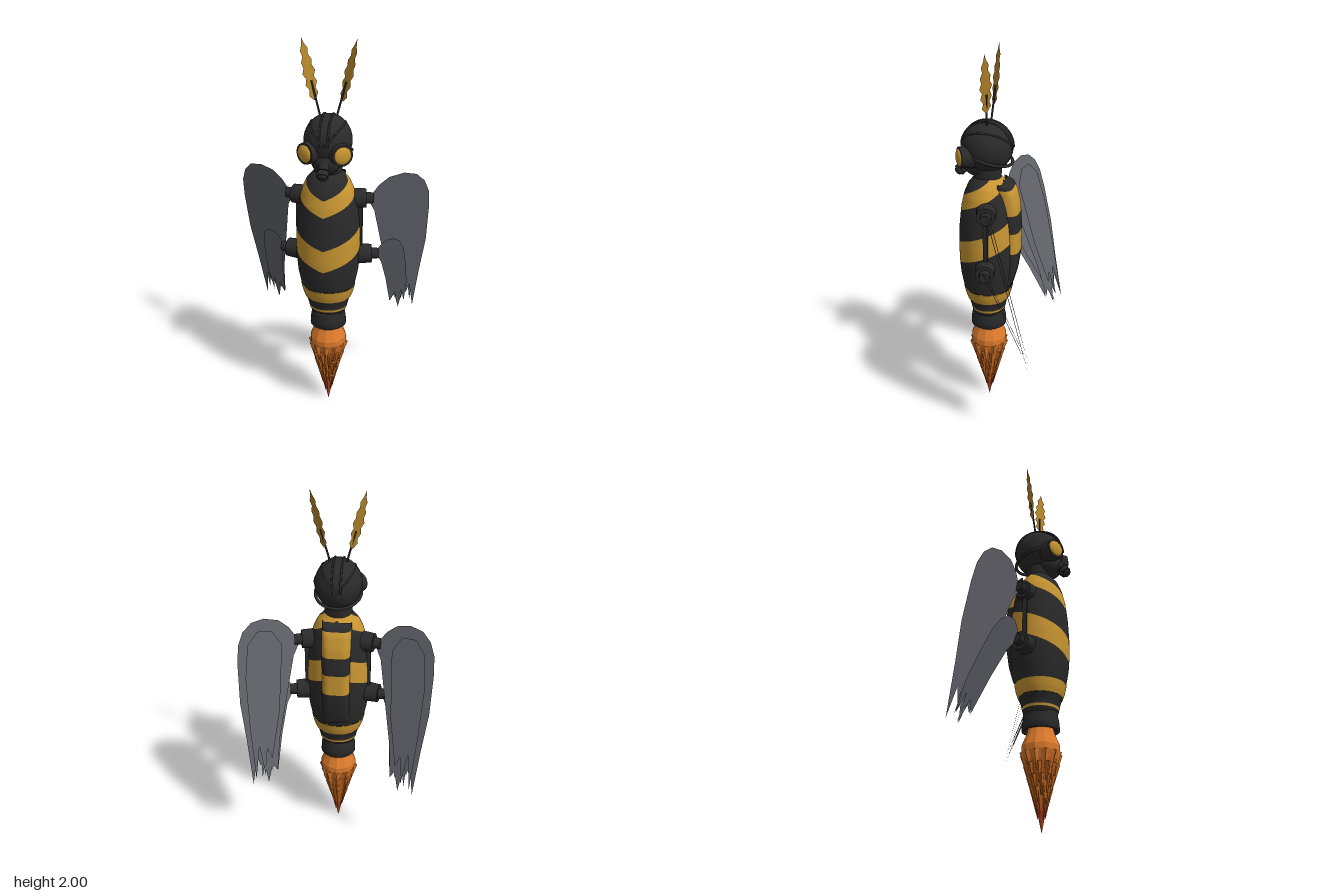
import * as THREE from 'three';

const CZ = 0.088; // z of the body axis
const mat = (name, color, extra = {}) => {
  const m = new THREE.MeshStandardMaterial({ color, ...extra });
  m.name = name;
  return m;
};

// Smooth interpolation through [y, value] pairs sorted by y
function profile(pairs) {
  return y => {
    for (let i = 1; i < pairs.length; i++) {
      if (y <= pairs[i][0]) {
        const [a, va] = pairs[i - 1], [b, vb] = pairs[i];
        return va + (vb - va) * Math.max(0, (y - a) / (b - a));
      }
    }
    return pairs[pairs.length - 1][1];
  };
}

// Surface from a rule: point(u, v) with u, v in 0..1
function sheet(point, nu, nv) {
  const pos = [], idx = [];
  for (let j = 0; j <= nv; j++) for (let i = 0; i <= nu; i++) pos.push(...point(i / nu, j / nv));
  for (let j = 0; j < nv; j++) for (let i = 0; i < nu; i++) {
    const a = j * (nu + 1) + i, b = a + 1, c = a + nu + 1, d = c + 1;
    idx.push(a, b, d, a, d, c);
  }
  const g = new THREE.BufferGeometry();
  g.setAttribute('position', new THREE.Float32BufferAttribute(pos, 3));
  g.setIndex(idx);
  g.computeVertexNormals();
  return g;
}

export function createModel() {
  const model = new THREE.Group();
  model.name = 'rocketWasp';
  const black = mat('black', 0x2a2a2a);
  const gold = mat('gold', 0xc99632);
  const antennaGold = mat('antennaGold', 0xb5852a, { side: THREE.DoubleSide });
  const grey = mat('wingGrey', 0x64656c, { side: THREE.DoubleSide, flatShading: true });
  const orange = mat('orange', 0xdd7a2c, { flatShading: true });
  const amber = mat('darkOrange', 0xc4661f, { flatShading: true });
  const red = mat('flameRed', 0xb0441c, { flatShading: true });

  const add = (parent, name, geo, material, x = 0, y = 0, z = 0) => {
    const m = new THREE.Mesh(geo, material);
    m.name = name;
    m.position.set(x, y, z);
    parent.add(m);
    return m;
  };

  // Body: stacked bands, the upper ones rising in a chevron towards the back
  const radius = profile([[0.58, 0.088], [0.6, 0.098], [0.64, 0.107], [0.67, 0.119], [0.7, 0.13], [0.75, 0.142],
    [0.82, 0.156], [0.9, 0.163], [1.0, 0.164], [1.1, 0.159], [1.2, 0.147], [1.27, 0.13], [1.32, 0.107], [1.35, 0.08], [1.37, 0.062]]);
  const levels = [[0.58, 0], [0.603, 0], [0.616, 0], [0.67, 0], [0.738, 0], [0.86, 0.19], [0.98, 0.19], [1.155, 0.19], [1.24, 0.19], [1.37, 0]];
  const levelAt = ([y, rise], t) => Math.min(1.37, y + rise * t);
  for (let k = 0; k < levels.length - 1; k++) {
    add(model, 'bodyBand', sheet((u, v) => {
      const a = (u - 0.5) * 2 * Math.PI, t = Math.abs(u - 0.5) * 2;
      const y = THREE.MathUtils.lerp(levelAt(levels[k], t), levelAt(levels[k + 1], t), v);
      const r = radius(y) + (k === 3 ? 0.003 : 0);
      return [r * Math.sin(a), y, CZ + 0.92 * r * Math.cos(a)];
    }, 64, 10), k % 2 ? gold : black);
  }

  // Back pack: a rounded spine with straight stripes
  const depth = profile([[0.74, 0], [0.76, 0.045], [0.84, 0.068], [0.95, 0.084], [1.1, 0.085], [1.22, 0.077], [1.29, 0.06], [1.325, 0.04], [1.34, 0]]);
  const cuts = [0.74, 0.96, 1.075, 1.175, 1.31, 1.34];
  for (let k = 0; k < cuts.length - 1; k++) {
    add(model, 'backPackBand', sheet((u, v) => {
      const a = u * Math.PI, y = THREE.MathUtils.lerp(cuts[k], cuts[k + 1], v);
      return [-0.075 * Math.sign(Math.cos(a)) * Math.abs(Math.cos(a)) ** 0.5 * -1 * -1, y,
        0.02 - (0.02 + depth(y)) * Math.max(0, Math.sin(a)) ** 0.5];
    }, 24, 10), k % 2 ? gold : black).material.side = THREE.DoubleSide;
  }

  // Neck and exhaust nozzle
  add(model, 'neck', new THREE.CylinderGeometry(0.075, 0.068, 0.1, 32), black, 0, 1.385, CZ);
  const nozzle = [[0.07, 0.56], [0.078, 0.5], [0.095, 0.5], [0.093, 0.54], [0.086, 0.575], [0.088, 0.59], [0, 0.59]];
  add(model, 'nozzle', new THREE.LatheGeometry(nozzle.map(p => new THREE.Vector2(...p)), 32), black, 0, 0, CZ);
  add(model, 'nozzleFloor', new THREE.CylinderGeometry(0.075, 0.075, 0.02, 32), black, 0, 0.56, CZ);

  // Flame: bulb, tapering core and rings of hanging shards
  const flame = (name, pts, m) =>
    add(model, name, new THREE.LatheGeometry(pts.map(p => new THREE.Vector2(...p)), 12), m, 0, 0, CZ);
  flame('flameBulb', [[0.082, 0.35], [0.097, 0.39], [0.097, 0.42], [0.076, 0.47], [0.066, 0.5], [0.066, 0.55]], orange);
  flame('flameCore', [[0.024, 0.12], [0.046, 0.22], [0.065, 0.29], [0.084, 0.36]], amber);
  flame('flameTip', [[0.0005, 0.005], [0.01, 0.05], [0.024, 0.12]], red);
  for (let ring = 0; ring < 5; ring++) {
    const y = 0.39 - ring * 0.057, r = 0.088 - ring * 0.0135, n = 12 - ring;
    for (let i = 0; i < n; i++) {
      const a = (i + ring * 0.5) / n * Math.PI * 2, len = 0.075 + 0.025 * ((i * 7 + ring * 3) % 4) / 3;
      const g = new THREE.CylinderGeometry(r * 0.2, r * 0.06, len, 4);
      g.rotateX(0.2);
      g.translate(0, -len / 2, r - 0.007);
      g.rotateY(a);
      add(model, 'flameShard', g, ring < 1 ? orange : ring < 4 ? amber : red, 0, y, CZ);
    }
  }

  // Head: helmet with ridges and a tilted rim
  const head = new THREE.Group();
  head.name = 'head';
  head.position.set(0, 1.515, CZ);
  model.add(head);
  add(head, 'helmet', new THREE.SphereGeometry(0.13, 40, 28), black).scale.set(0.92, 1, 1);
  for (const x of [-0.022, 0.022]) {
    add(head, 'crownRidge', new THREE.TorusGeometry(0.129, 0.005, 8, 48, Math.PI).rotateY(Math.PI / 2), black, x);
  }
  for (const s of [-1, 1]) {
    const ridge = add(head, 'sideRidge', new THREE.TorusGeometry(0.13, 0.005, 8, 48, Math.PI).rotateY(Math.PI / 2), black);
    ridge.rotation.z = s * 0.75;
    ridge.scale.set(0.95, 0.95, 1);
  }
  const rim = add(head, 'helmetRim', new THREE.TorusGeometry(0.126, 0.008, 10, 48).rotateX(Math.PI / 2), black, 0, -0.045, -0.005);
  rim.rotation.x = -0.28;
  rim.scale.x = 0.92;
  add(head, 'jaw', new THREE.SphereGeometry(0.075, 24, 16), black, 0, -0.085, 0.05);

  // Breathing mask with filter
  const mask = new THREE.Group();
  mask.name = 'mask';
  mask.position.set(0, 1.415, 0.195);
  mask.rotation.x = 2.35;
  model.add(mask);
  add(mask, 'maskSnout', new THREE.CylinderGeometry(0.024, 0.036, 0.05, 24), black);
  add(mask, 'maskFilter', new THREE.CylinderGeometry(0.03, 0.03, 0.025, 24), black, 0, 0.045);
  add(mask, 'filterCap', new THREE.CylinderGeometry(0.02, 0.024, 0.015, 24), black, 0, 0.064);

  // Everything below is built for the left side and mirrored
  const wingShear = (x0, y0, kx, ky) => (x, y) => 0.04 + kx * (x - x0) + ky * (y - y0);
  const wing = (parent, name, pts, plane, offset) => {
    const g = new THREE.ShapeGeometry(new THREE.Shape(pts.map(p => new THREE.Vector2(...p))));
    const p = g.attributes.position;
    for (let i = 0; i < p.count; i++) p.setZ(i, plane(p.getX(i), p.getY(i)) + offset);
    g.computeVertexNormals();
    add(parent, name, g, grey);
  };
  const upperPlane = wingShear(0.21, 1.22, -0.42, 0.25);
  const lowerPlane = wingShear(0.25, 0.91, -0.58, 0.45);

  for (const s of [1, -1]) {
    const side = new THREE.Group();
    side.name = s > 0 ? 'leftSide' : 'rightSide';
    side.scale.x = s;
    model.add(side);

    // Goggle eye
    const eye = new THREE.Group();
    eye.name = 'eye';
    eye.position.set(0.074, 1.476, 0.178);
    eye.rotation.y = 0.58;
    side.add(eye);
    add(eye, 'eyeRim', new THREE.CylinderGeometry(0.053, 0.058, 0.07, 32).rotateX(Math.PI / 2), black);
    add(eye, 'eyeLens', new THREE.SphereGeometry(0.044, 28, 16), gold, 0, 0, 0.034).scale.z = 0.35;

    // Antenna: stalk and serrated leaf
    const stalk = new THREE.LineCurve3(new THREE.Vector3(0.038, 1.62, 0.08), new THREE.Vector3(0.085, 1.8, 0.068));
    add(side, 'antennaStalk', new THREE.TubeGeometry(stalk, 1, 0.005, 8), black);
    const half = [0.006, 0.026, 0.018, 0.033, 0.022, 0.036, 0.024, 0.03, 0.016, 0.022, 0.008];
    const right = half.map((w, i) => [w, i * 0.026]), left = half.map((w, i) => [-w, i * 0.026 + 0.005]).reverse();
    const leaf = new THREE.ShapeGeometry(new THREE.Shape([...right, [0, 0.295], ...left].map(p => new THREE.Vector2(...p))));
    const lp = leaf.attributes.position;
    for (let i = 0; i < lp.count; i++) {
      const w = lp.getX(i), h = lp.getY(i);
      lp.setXYZ(i, 0.066 + w * 0.72 + h * 0.23, 1.705 + h - w * 0.15, 0.072 + w * 0.66 - h * 0.035);
    }
    leaf.computeVertexNormals();
    add(side, 'antennaLeaf', leaf, antennaGold);

    // Wing mounts joined by a rail
    for (const [x, y, len] of [[0.155, 1.21, 0.065], [0.185, 0.905, 0.07]]) {
      const mount = new THREE.Group();
      mount.name = 'wingMount';
      mount.position.set(x, y, 0.056);
      mount.rotation.y = 0.22;
      side.add(mount);
      add(mount, 'mountDrum', new THREE.CylinderGeometry(0.048, 0.052, len, 28).rotateZ(-Math.PI / 2), black);
      add(mount, 'mountPin', new THREE.CylinderGeometry(0.027, 0.032, 0.07, 20).rotateZ(-Math.PI / 2), black, 0.035);
    }
    add(side, 'mountRail', new THREE.BoxGeometry(0.04, 0.3, 0.022), black, 0.152, 1.06, 0.058);

    // Upper wing with overlapping feathers behind
    wing(side, 'upperWing', [[0.195, 1.2], [0.25, 1.28], [0.3, 1.322], [0.37, 1.34], [0.43, 1.327], [0.47, 1.285], [0.492, 1.22],
      [0.495, 1.12], [0.485, 0.92], [0.455, 0.72], [0.422, 0.465], [0.405, 0.62], [0.385, 0.56], [0.375, 0.61], [0.345, 0.462],
      [0.325, 0.56], [0.3, 0.52], [0.29, 0.7], [0.255, 0.93], [0.225, 1.13]], upperPlane, 0);
    wing(side, 'upperFeathers', [[0.28, 1.2], [0.33, 1.28], [0.4, 1.285], [0.445, 1.22], [0.455, 1.05], [0.435, 0.78], [0.405, 0.5],
      [0.39, 0.68], [0.36, 0.52], [0.35, 0.66], [0.325, 0.6], [0.29, 0.85]], upperPlane, -0.014);

    // Lower wing with overlapping feathers behind
    wing(side, 'lowerWing', [[0.235, 0.905], [0.265, 0.955], [0.295, 0.985], [0.33, 0.99], [0.36, 0.965], [0.378, 0.91], [0.388, 0.8],
      [0.392, 0.65], [0.375, 0.5], [0.362, 0.6], [0.345, 0.47], [0.33, 0.58], [0.3, 0.515], [0.285, 0.7], [0.265, 0.84]], lowerPlane, 0);
    wing(side, 'lowerFeathers', [[0.28, 0.9], [0.31, 0.95], [0.345, 0.93], [0.365, 0.8], [0.37, 0.62], [0.36, 0.51], [0.345, 0.63],
      [0.325, 0.53], [0.31, 0.64], [0.29, 0.78]], lowerPlane, -0.012);
  }
  return model;
}
